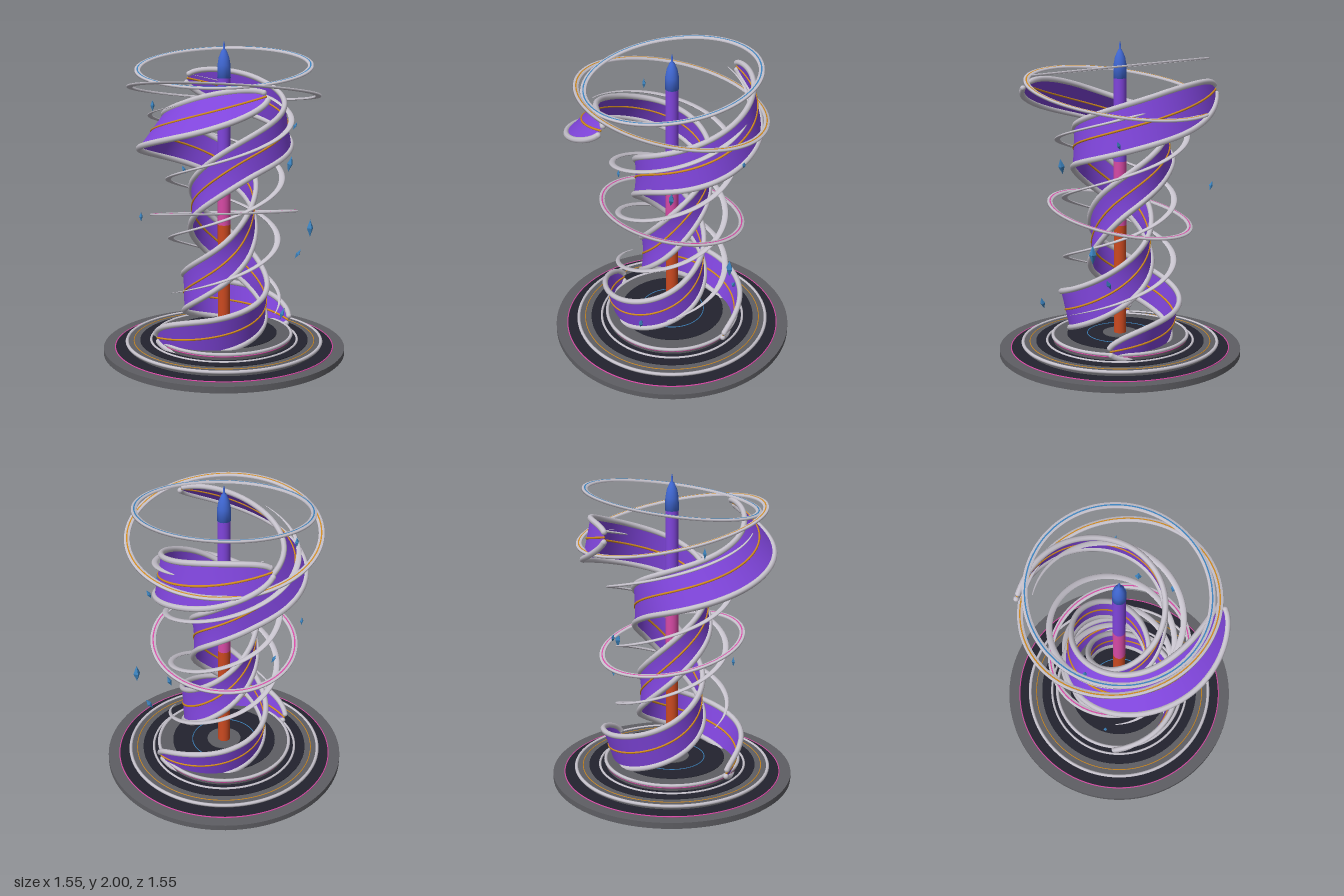
import * as THREE from 'three';

const mat = (name, color, side = THREE.FrontSide) => {
  const m = new THREE.MeshStandardMaterial({ color, side });
  m.name = name;
  return m;
};

export function createModel() {
  const M = {
    purple: mat('violet', 0x8045dc, THREE.DoubleSide),
    silver: mat('silver', 0xc6c2cc),
    gold: mat('gold', 0xd08a20),
    grey: mat('grey metal', 0x5e5e63),
    dark: mat('dark base', 0x22232e),
    orange: mat('orange', 0xcc4a20),
    pink: mat('pink', 0xd84aa6),
    blue: mat('tip blue', 0x4068d4),
    crystal: mat('crystal blue', 0x3c84c0),
  };
  const root = new THREE.Group();
  const add = (name, geo, material, parent = root) => {
    const m = new THREE.Mesh(geo, material);
    m.name = name;
    parent.add(m);
    return m;
  };
  const lathe = (name, pts, material, parent, seg = 72) =>
    add(name, new THREE.LatheGeometry(pts.map(p => new THREE.Vector2(...p)), seg), material, parent);

  // ---- Stepped base: tiers with dark inlays, rims and thin coloured lines ----
  const base = new THREE.Group();
  base.name = 'base';
  root.add(base);
  const disc = (name, r, y0, y1, material) => {
    const m = add(name, new THREE.CylinderGeometry(r, r, y1 - y0, 96), material, base);
    m.position.y = (y0 + y1) / 2;
  };
  disc('foot', 0.765, 0, 0.012, M.grey);
  disc('lowerTier', 0.775, 0.008, 0.045, M.grey);
  disc('lowerInlay', 0.70, 0.04, 0.048, M.dark);
  disc('middleNeck', 0.605, 0.045, 0.06, M.grey);
  disc('middleTier', 0.62, 0.058, 0.083, M.grey);
  disc('middleInlay', 0.54, 0.08, 0.087, M.dark);
  disc('upperTier', 0.43, 0.083, 0.126, M.grey);
  disc('upperInlay', 0.34, 0.12, 0.129, M.dark);
  disc('hub', 0.11, 0.12, 0.134, M.grey);
  const hoop = (name, r, tube, y, material) => {
    const m = add(name, new THREE.TorusGeometry(r, tube, 8, 96), material, base);
    m.rotation.x = Math.PI / 2;
    m.position.y = y;
  };
  hoop('pinkOuterLine', 0.70, 0.004, 0.047, M.pink);
  hoop('middleRim', 0.624, 0.011, 0.079, M.silver);
  hoop('goldMiddleLine', 0.58, 0.003, 0.083, M.gold);
  hoop('innerMiddleRim', 0.47, 0.008, 0.087, M.silver);
  hoop('upperRim', 0.432, 0.011, 0.122, M.silver);
  hoop('pinkUpperLine', 0.432, 0.004, 0.108, M.pink);
  hoop('blueInnerLine', 0.21, 0.003, 0.129, M.crystal);

  // ---- Central column in coloured sections with a pointed tip ----
  const column = new THREE.Group();
  column.name = 'column';
  root.add(column);
  [['orangeSection', 0.13, 0.84, M.orange], ['pinkSection', 0.84, 1.25, M.pink],
    ['violetSection', 1.25, 1.77, M.purple]].forEach(([name, a, b, m]) => {
    add(name, new THREE.CylinderGeometry(0.04, 0.04, b - a, 24), m, column).position.y = (a + b) / 2;
  });
  lathe('tip', [[0, 1.76], [0.042, 1.77], [0.041, 1.85], [0.032, 1.9], [0.015, 1.94],
    [0.007, 1.95], [0.005, 1.98], [0, 2.0]], M.blue, column, 24);

  // Tube along a point function, with rounded ends
  const tube = (name, fn, r, material, parent) => {
    const c = new THREE.Curve();
    c.getPoint = (t, target = new THREE.Vector3()) => target.copy(fn(t));
    add(name, new THREE.TubeGeometry(c, 180, r, 8), material, parent);
    [0, 1].forEach(t => add(name + 'End', new THREE.SphereGeometry(r, 10, 8), material, parent)
      .position.copy(fn(t)));
  };
  // Grid surface swept by a rule: t along it, v across it from -0.5 to 0.5
  const sweepGrid = (rule, across) => {
    const geo = new THREE.PlaneGeometry(1, 1, 200, across), pos = geo.attributes.position;
    for (let i = 0; i < pos.count; i++) {
      const p = rule(pos.getX(i) + 0.5, pos.getY(i));
      pos.setXYZ(i, p.x, p.y, p.z);
    }
    geo.computeVertexNormals();
    return geo;
  };

  // ---- Two wide spiral ribbons with pointed ends: [radius, height, inward tilt] per quarter turn ----
  const widthCurve = new THREE.SplineCurve([0.24, 0.24, 0.22, 0.195, 0.195, 0.22, 0.265, 0.27]
    .map(w => new THREE.Vector2(w, 0)));
  const ribbon = (name, startAngle, keys) => {
    const g = new THREE.Group();
    g.name = name;
    root.add(g);
    const path = new THREE.CatmullRomCurve3(keys.map(k => new THREE.Vector3(...k)), false, 'catmullrom', 0.5);
    const sweep = (keys.length - 1) * Math.PI / 2;
    const centre = t => {
      const p = path.getPoint(t), a = startAngle + t * sweep;
      return new THREE.Vector3(p.x * Math.cos(a), p.y, -p.x * Math.sin(a));
    };
    const at = (t, v) => {
      const t0 = Math.max(t - 0.004, 0), t1 = Math.min(t + 0.004, 1);
      const tan = centre(t1).sub(centre(t0)).normalize();
      const a = startAngle + t * sweep, tilt = path.getPoint(t).z * Math.PI / 180;
      const n = new THREE.Vector3(Math.cos(a), 0, -Math.sin(a));
      n.addScaledVector(tan, -n.dot(tan)).normalize();
      const up = n.clone().cross(tan).multiplyScalar(Math.cos(tilt)).addScaledVector(n, -Math.sin(tilt));
      const e = Math.min(1, (Math.min(t, 1 - t) + 0.002) / 0.08);
      return centre(t).addScaledVector(up, v * widthCurve.getPoint(t).x * Math.sqrt(e * (2 - e)));
    };
    add('band', sweepGrid(at, 4), M.purple, g);
    tube('upperEdge', t => at(t, 0.5), 0.018, M.silver, g);
    tube('lowerEdge', t => at(t, -0.5), 0.018, M.silver, g);
    tube('centreLine', t => at(t, 0), 0.007, M.gold, g);
  };
  ribbon('firstRibbon', Math.PI, [
    [0.46, 0.15, -14], [0.355, 0.27, -16], [0.225, 0.47, -4], [0.19, 0.72, 0],
    [0.21, 1.01, 6], [0.26, 1.28, 8], [0.435, 1.49, 15], [0.59, 1.71, 14]]);
  ribbon('secondRibbon', 0, [
    [0.46, 0.15, -18], [0.35, 0.27, -16], [0.215, 0.47, -4], [0.18, 0.70, 0],
    [0.20, 1.02, 4], [0.28, 1.26, 10], [0.48, 1.475, 42], [0.59, 1.72, 48]]);

  // ---- Two slim flat strands spiralling outside the ribbons, thinning at the ends ----
  const strand = (name, startAngle, y0, y1, turns) => add(name, sweepGrid((t, v) => {
    const a = startAngle + t * turns * Math.PI * 2, b = v * Math.PI * 2;
    const thin = Math.min(1, 0.15 + Math.min(t, 1 - t) * 8);
    const r = 0.36 - 0.03 * Math.sin(t * Math.PI) + 0.14 * t * t * t + 0.019 * thin * Math.cos(b);
    return new THREE.Vector3(r * Math.cos(a), y0 + (y1 - y0) * t + 0.008 * thin * Math.sin(b), -r * Math.sin(a));
  }, 10), M.silver);
  strand('firstStrand', Math.PI, 0.43, 1.74, 1.75);
  strand('secondStrand', -0.9, 0.3, 1.65, 1.73);

  // ---- Tilted floating rings with a thin coloured line on top ----
  const ring = (name, r, y, sx, sz, lineMat) => {
    const g = new THREE.Group();
    g.name = name;
    g.position.y = y;
    g.quaternion.setFromUnitVectors(new THREE.Vector3(0, 1, 0), new THREE.Vector3(-sx, 1, -sz).normalize());
    root.add(g);
    lathe('hoop', [[r - 0.017, -0.006], [r + 0.017, -0.006], [r + 0.017, 0.006],
      [r - 0.017, 0.006], [r - 0.017, -0.006]], M.silver, g, 96);
    lathe('line', [[r + 0.004, 0.008], [r - 0.004, 0.008]], lineMat, g, 96);
  };
  ring('topRing', 0.535, 1.84, 0.08, -0.11, M.crystal);
  ring('upperRing', 0.585, 1.685, -0.125, 0.16, M.gold);
  ring('waistRing', 0.45, 0.915, -0.06, 0.2, M.pink);

  // ---- Drifting crystals: x, y, z, height, lean ----
  [[0.57, 0.78, 0.09, 0.115, 0], [0.53, 0.59, 0, 0.075, -0.5], [0.53, 1.43, -0.06, 0.06, -0.4],
    [0.30, 1.26, 0.32, 0.1, -0.2], [0.18, 0.36, 0.47, 0.08, -0.3], [-0.54, 0.93, -0.05, 0.06, 0],
    [-0.04, 1.1, -0.57, 0.06, 0.4], [-0.41, 1.6, -0.17, 0.07, 0]].forEach(([x, y, z, h, lean]) => {
    const c = add('crystal', new THREE.OctahedronGeometry(0.5), M.crystal);
    c.position.set(x, y, z);
    c.scale.set(h * 0.4, h, h * 0.4);
    c.rotation.set(-lean * 0.6, 0, lean);
  });
  return root;
}
